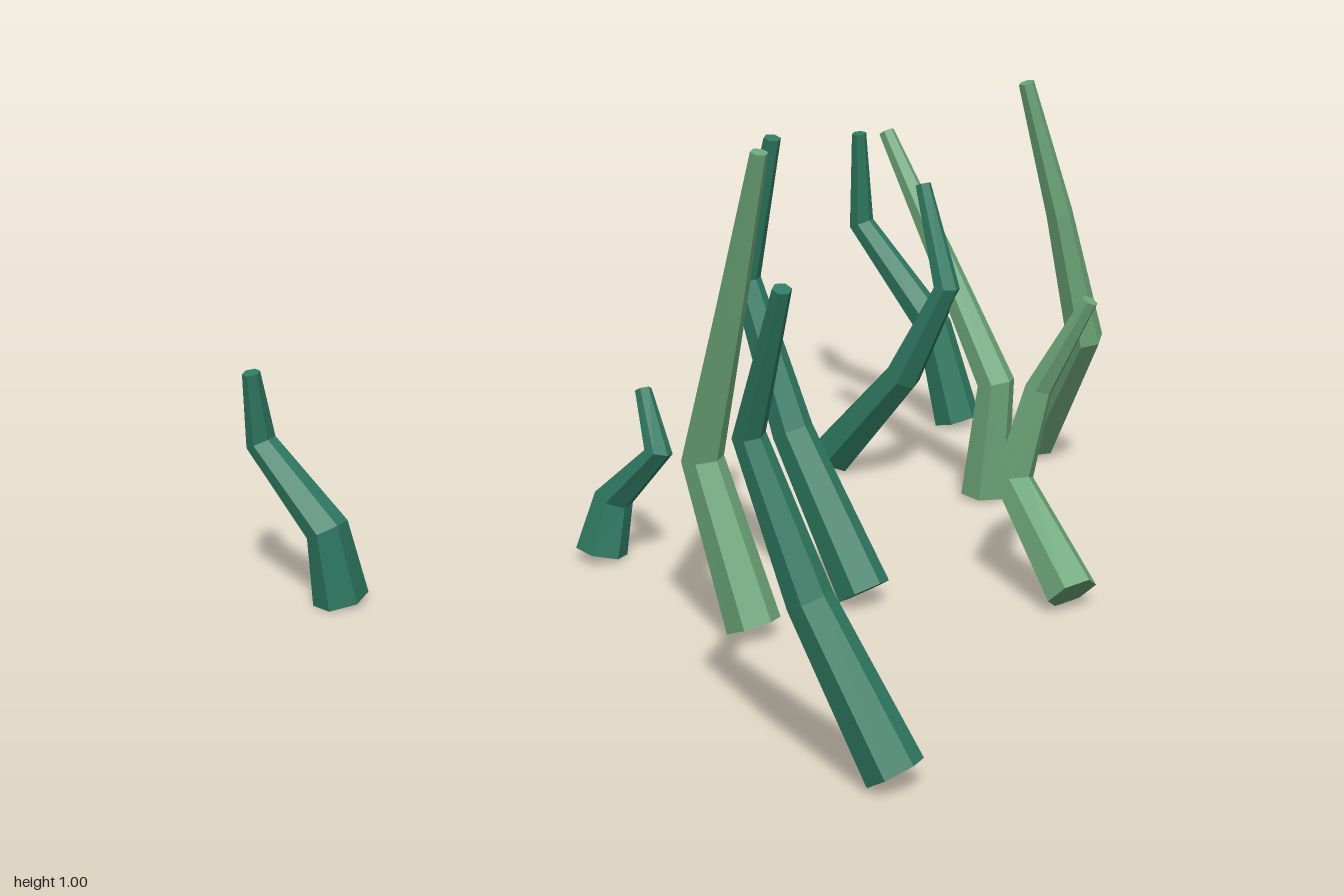
import * as THREE from 'three';

const SIDES = 6;

// Tapered, kinked stalk: hexagonal rings swept along a few points, capped at both ends
function stalkGeometry(points) {
  const pos = [], index = [];
  const last = points.length - 1;
  points.forEach((p, i) => {
    const before = points[Math.max(i - 1, 0)];
    const after = points[Math.min(i + 1, last)];
    const dirIn = p.clone().sub(before).normalize();
    const dirOut = after.clone().sub(p).normalize();
    const t = dirIn.add(dirOut).normalize();
    const side = new THREE.Vector3(1, 0, 0).addScaledVector(t, -t.x).normalize();
    const front = side.clone().cross(t);
    const r = THREE.MathUtils.lerp(0.053, 0.017, i / last);
    for (let k = 0; k < SIDES; k++) {
      const a = (k / SIDES) * Math.PI * 2;
      const v = p.clone()
        .addScaledVector(side, Math.cos(a) * r)
        .addScaledVector(front, Math.sin(a) * r * 1.13);
      pos.push(v.x, v.y, v.z);
    }
  });
  for (let i = 0; i < last; i++) {
    for (let k = 0; k < SIDES; k++) {
      const a = i * SIDES + k, b = i * SIDES + (k + 1) % SIDES;
      index.push(a, a + SIDES, b, b, a + SIDES, b + SIDES);
    }
  }
  // end caps
  const top = last * SIDES;
  for (let k = 1; k < SIDES - 1; k++) {
    index.push(0, k, k + 1);
    index.push(top, top + k + 1, top + k);
  }
  const g = new THREE.BufferGeometry();
  g.setAttribute('position', new THREE.Float32BufferAttribute(pos, 3));
  g.setIndex(index);
  g.computeVertexNormals();
  return g;
}

export function createModel() {
  const model = new THREE.Group();
  model.name = 'seaweedPatch';

  const dark = new THREE.MeshStandardMaterial({ color: 0x2f7a62, flatShading: true });
  dark.name = 'deepGreen';
  const light = new THREE.MeshStandardMaterial({ color: 0x6ca578, flatShading: true });
  light.name = 'paleGreen';

  // Each stalk: material, x at four evenly spaced heights, [base y, tip y], [base z, tip z]
  const stalks = [
    [dark, [-0.565, -0.62, -0.84, -0.825], [0.015, 0.71], [-0.94, -0.865]],
    [light, [-0.26, -0.055, -0.075, -0.115], [0.04, 0.95], [-0.87, -0.645]],
    [light, [-0.14, -0.11, -0.275, -0.445], [0.01, 0.81], [-0.545, -0.545]],
    [dark, [-0.535, -0.335, -0.22, -0.31], [0.04, 0.71], [-0.46, -0.52]],
    [light, [0.485, 0.295, 0.33, 0.43], [0.037, 0.625], [-0.085, -0.195]],
    [dark, [0.15, -0.04, -0.16, -0.07], [0.03, 0.955], [0.18, 0.214]],
    [dark, [-0.465, -0.45, -0.335, -0.405], [0.017, 0.375], [0.345, 0.27]],
    [light, [0.115, -0.015, 0.08, 0.17], [0.025, 1.0], [0.468, 0.496]],
    [dark, [-0.655, -0.655, -0.83, -0.815], [0.01, 0.48], [0.9, 0.978]],
    [dark, [0.83, 0.66, 0.55, 0.67], [0.03, 0.9], [0.84, 0.952]],
  ];

  stalks.forEach(([material, xs, [y0, y1], [z0, z1]], n) => {
    const points = xs.map((x, i) => {
      const f = i / (xs.length - 1);
      return new THREE.Vector3(x, THREE.MathUtils.lerp(y0, y1, f), THREE.MathUtils.lerp(z0, z1, f));
    });
    const stalk = new THREE.Mesh(stalkGeometry(points), material);
    stalk.name = `seaweedStalk${n + 1}`;
    model.add(stalk);
  });

  return model;
}
